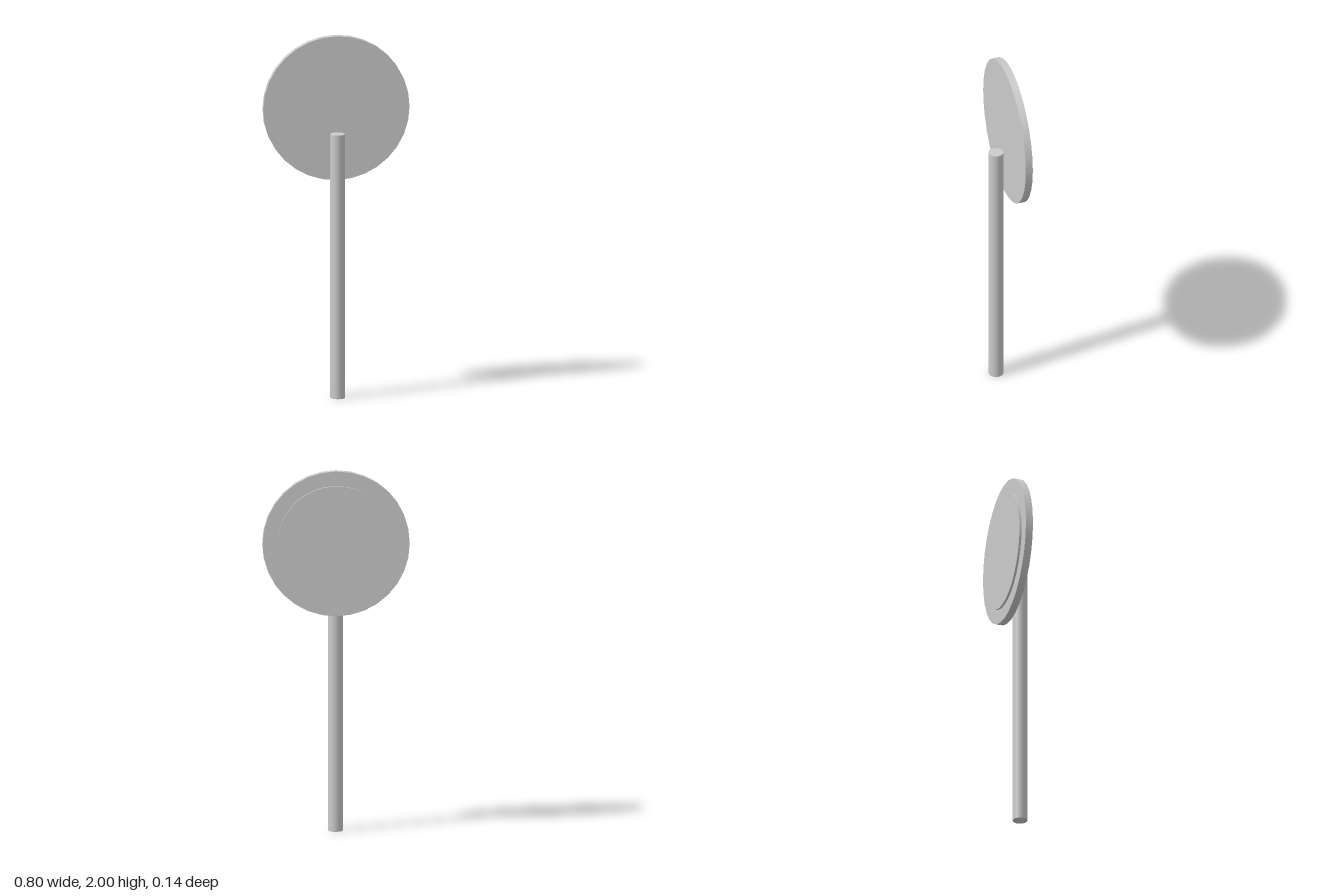
import * as THREE from 'three';

export function createModel() {
  const group = new THREE.Group();
  const material = new THREE.MeshStandardMaterial({ color: 0xcccccc });
  const SIDES = 32;

  function addCylinder(name, radius, length, position, facing = false) {
    const geometry = new THREE.CylinderGeometry(radius, radius, length, SIDES);
    if (facing) geometry.rotateX(Math.PI / 2); // axis along z
    const mesh = new THREE.Mesh(geometry, material);
    mesh.name = name;
    mesh.position.set(...position);
    group.add(mesh);
  }

  // Upright pole in front of the sign
  addCylinder('pole', 0.04, 1.467, [0, 0.7335, 0.029]);
  // Round sign plate
  addCylinder('signPlate', 0.4, 0.04, [0, 1.6, -0.039], true);
  // Smaller raised disc on the back of the plate
  addCylinder('raisedDisc', 0.32, 0.03, [0, 1.6, -0.056], true);

  return group;
}
